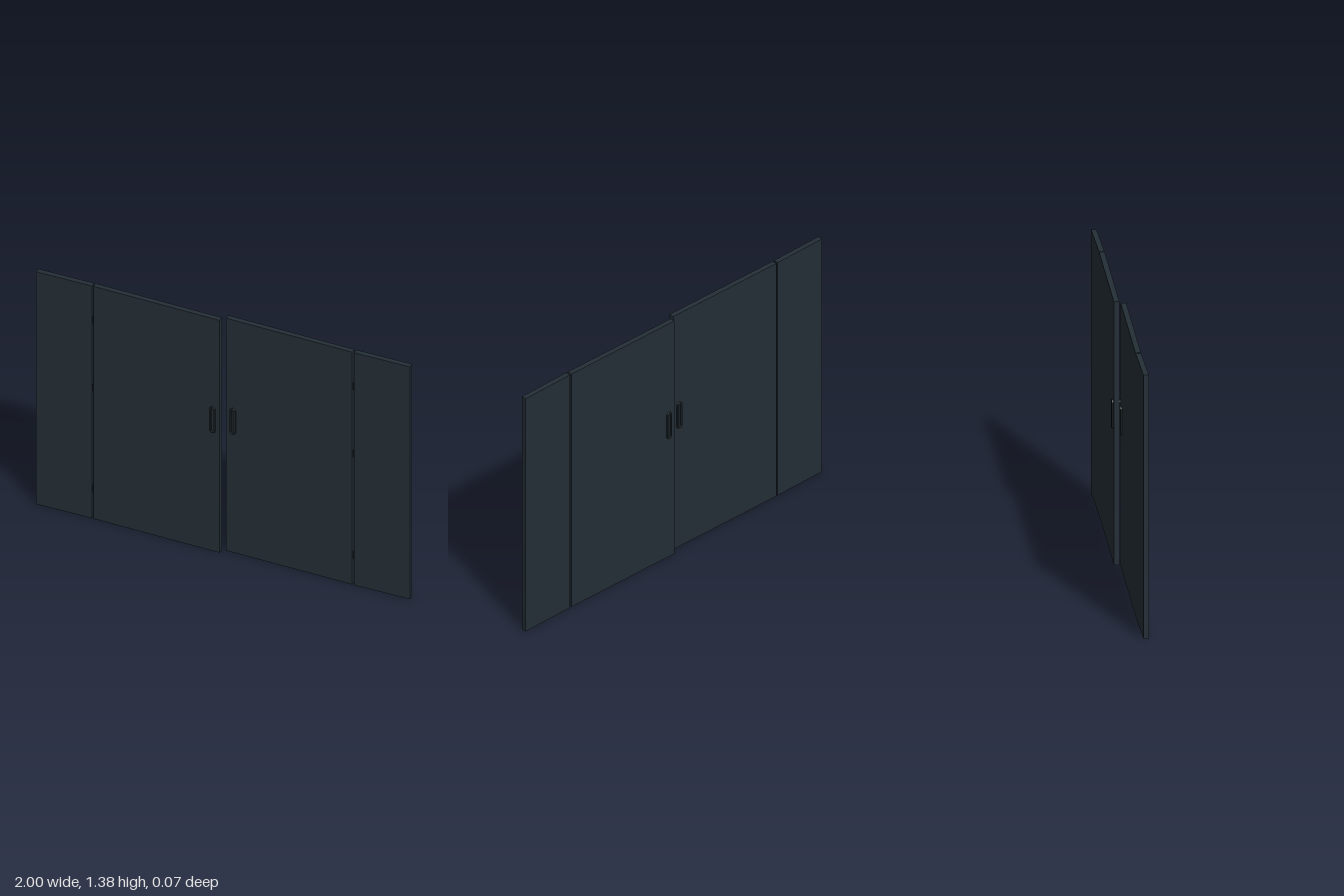
import * as THREE from 'three';

const HEIGHT = 1.375, THICK = 0.027;
const PANEL_W = 0.3, HINGE_X = -0.696, DOOR_W = 0.681, GAP = 0.004;

function mesh(name, geometry, material, x = 0, y = 0, z = 0) {
  const m = new THREE.Mesh(geometry, material);
  m.name = name;
  m.position.set(x, y, z);
  return m;
}

// Upright stadium outline centred on the origin
function stadium(ShapeType, width, height) {
  const r = width / 2, h = height / 2 - r;
  const s = new ShapeType();
  s.absarc(0, h, r, 0, Math.PI, false);
  s.absarc(0, -h, r, Math.PI, Math.PI * 2, false);
  s.closePath();
  return s;
}

// Raised pull rim, passing through the door so it shows on both faces
function handleGeometry() {
  const depth = 0.038, bevel = 0.003;
  const outline = stadium(THREE.Shape, 0.027, 0.147);
  outline.holes.push(stadium(THREE.Path, 0.019, 0.139));
  const g = new THREE.ExtrudeGeometry(outline, {
    depth, bevelEnabled: true, bevelSize: bevel, bevelThickness: bevel,
    bevelSegments: 2, curveSegments: 12,
  });
  return g.translate(0, 0, -depth / 2);
}

// One fixed panel with the door hinged on it
function createHalf(mats) {
  const half = new THREE.Group();
  half.add(mesh('sidePanel', new THREE.BoxGeometry(PANEL_W, HEIGHT, THICK), mats.panel,
    -1 + PANEL_W / 2, HEIGHT / 2));

  for (const y of [0.17, 0.77, 1.17]) {
    half.add(mesh('hinge', new THREE.CylinderGeometry(0.007, 0.007, 0.04, 16), mats.hinge, HINGE_X, y));
  }

  // Door leaf, slightly ajar
  const door = new THREE.Group();
  door.name = 'door';
  door.position.x = HINGE_X;
  door.rotation.y = -0.0225;
  door.add(mesh('doorLeaf', new THREE.BoxGeometry(DOOR_W, HEIGHT, THICK), mats.panel,
    GAP + DOOR_W / 2, HEIGHT / 2));
  door.add(mesh('handle', handleGeometry(), mats.handle, 0.648, 0.777));
  half.add(door);
  return half;
}

export function createModel() {
  const mats = {};
  for (const [key, name, color] of [
    ['panel', 'dark slate', 0x242e36],
    ['handle', 'dark handle', 0x1c2429],
    ['hinge', 'black hinge', 0x101417],
  ]) {
    mats[key] = new THREE.MeshStandardMaterial({ color });
    mats[key].name = name;
  }

  const model = new THREE.Group();
  model.name = 'doubleDoor';
  const right = createHalf(mats);
  right.name = 'rightHalf';
  // The other half is the same, turned half way round
  const left = createHalf(mats);
  left.name = 'leftHalf';
  left.rotation.y = Math.PI;
  model.add(right, left);
  return model;
}
